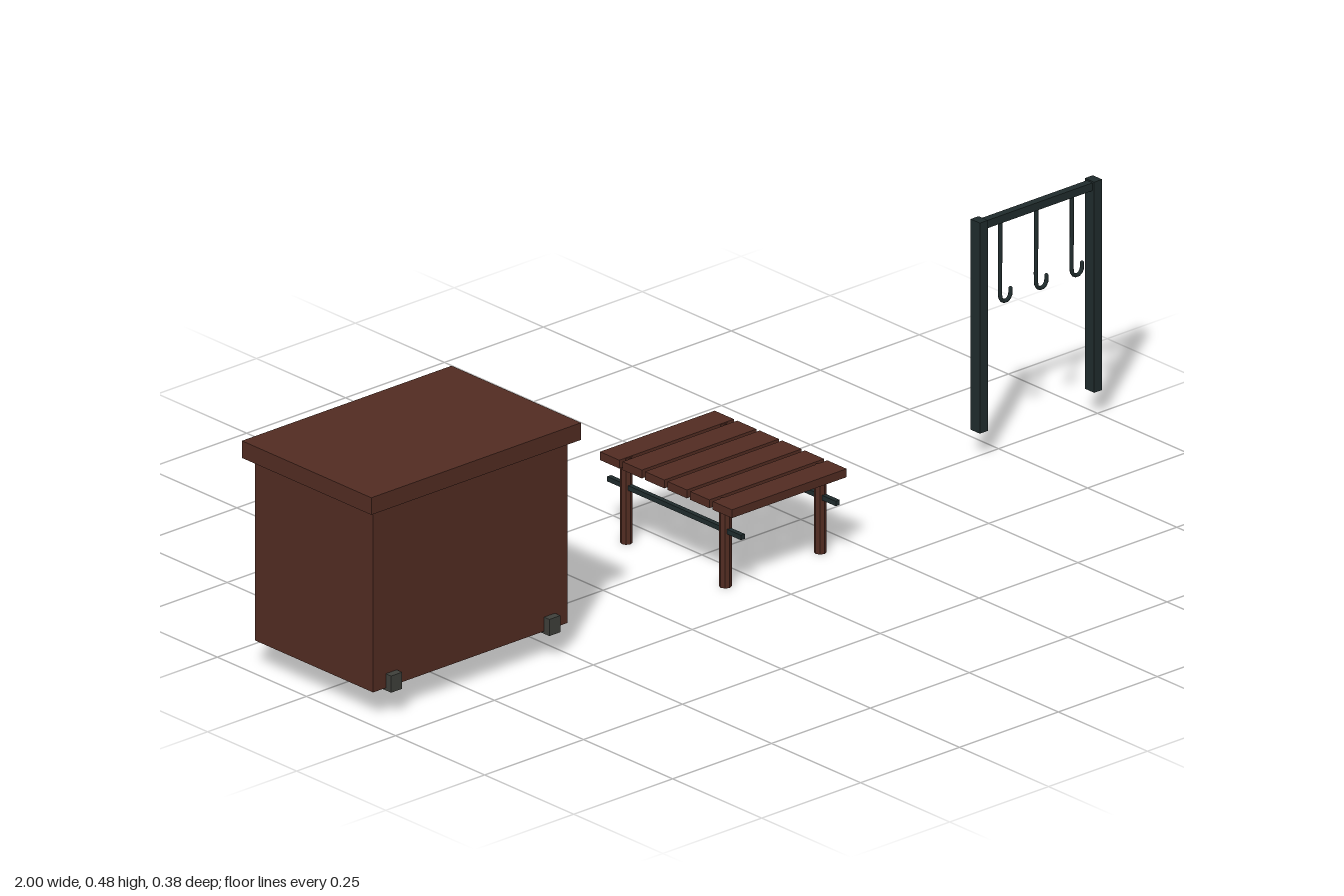
import * as THREE from 'three';

function mat(name, color) {
  const m = new THREE.MeshStandardMaterial({ color });
  m.name = name;
  return m;
}

export function createModel() {
  const wood = mat('dark red wood', 0x522c22);
  const iron = mat('dark iron', 0x202c2d);
  const stone = mat('grey runner', 0x3f403b);

  const root = new THREE.Group();
  root.name = 'yardSet';
  const group = (name) => {
    const g = new THREE.Group();
    g.name = name;
    root.add(g);
    return g;
  };
  const add = (parent, name, geo, material, x = 0, y = 0, z = 0) => {
    const m = new THREE.Mesh(geo, material);
    m.name = name;
    m.position.set(x, y, z);
    parent.add(m);
    return m;
  };
  // Box given by its lower and upper corners
  const box = (parent, name, material, [x0, y0, z0], [x1, y1, z1]) =>
    add(parent, name, new THREE.BoxGeometry(x1 - x0, y1 - y0, z1 - z0), material,
      (x0 + x1) / 2, (y0 + y1) / 2, (z0 + z1) / 2);

  // Storage chest with overhanging lid
  const chest = group('chest');
  const cx = -0.735;
  box(chest, 'body', wood, [cx - 0.246, 0.056, -0.166], [cx + 0.246, 0.43, 0.166]);
  box(chest, 'lid', wood, [cx - 0.265, 0.43, -0.181], [cx + 0.265, 0.465, 0.182]);
  for (const s of [-1, 1]) {
    const x = cx + s * 0.2;
    box(chest, 'runner', stone, [x - 0.014, 0.051, -0.179], [x + 0.014, 0.085, 0.181]);
    box(chest, 'backStrap', iron, [x - 0.011, 0.085, -0.173], [x + 0.011, 0.43, -0.166]);
  }
  box(chest, 'middleStrap', iron, [cx - 0.008, 0.058, -0.172], [cx + 0.008, 0.43, -0.166]);
  box(chest, 'backPanel', iron, [cx - 0.091, 0.087, -0.177], [cx + 0.091, 0.353, -0.166]);

  // Slatted table
  const table = group('table');
  const tx = 0.054;
  for (let i = 0; i < 6; i++) {
    const z = (i - 2.5) * 0.0632;
    box(table, 'slat', wood, [tx - 0.145, 0.161, z - 0.027], [tx + 0.145, 0.178, z + 0.027]);
  }
  const legGeo = new THREE.CylinderGeometry(0.012, 0.012, 0.177, 8).toNonIndexed();
  legGeo.computeVertexNormals();
  for (const s of [-1, 1]) {
    const x = tx + s * 0.12;
    for (const z of [-0.139, 0.139]) add(table, 'leg', legGeo, wood, x, 0.0885, z);
    box(table, 'rail', iron, [x - 0.005, 0.111, -0.187], [x + 0.005, 0.121, 0.188]);
  }

  // Hanging rack with three hooks
  const rack = group('rack');
  for (const x of [0.701, 0.99]) {
    box(rack, 'post', iron, [x - 0.01, 0.052, -0.013], [x + 0.01, 0.483, 0.013]);
  }
  box(rack, 'crossbar', iron, [0.7, 0.464, -0.008], [0.99, 0.48, 0.008]);

  // J-shaped hook path: stem, half turn and short tip
  const r = 0.013;
  const path = [new THREE.Vector3(0, 0.47, 0), new THREE.Vector3(0, 0.39, 0)];
  for (let i = 0; i <= 6; i++) {
    const a = Math.PI * (1 + i / 6);
    path.push(new THREE.Vector3(r + r * Math.cos(a), 0.311 + r * Math.sin(a), 0));
  }
  path.push(new THREE.Vector3(2 * r, 0.32, 0));
  const hookGeo = new THREE.TubeGeometry(new THREE.CatmullRomCurve3(path), 32, 0.004, 8);
  const tipGeo = new THREE.SphereGeometry(0.004, 8, 6);
  for (const x of [0.754, 0.845, 0.935]) {
    add(rack, 'hook', hookGeo, iron, x);
    add(rack, 'hookTip', tipGeo, iron, x + 2 * r, 0.32);
  }

  return root;
}
